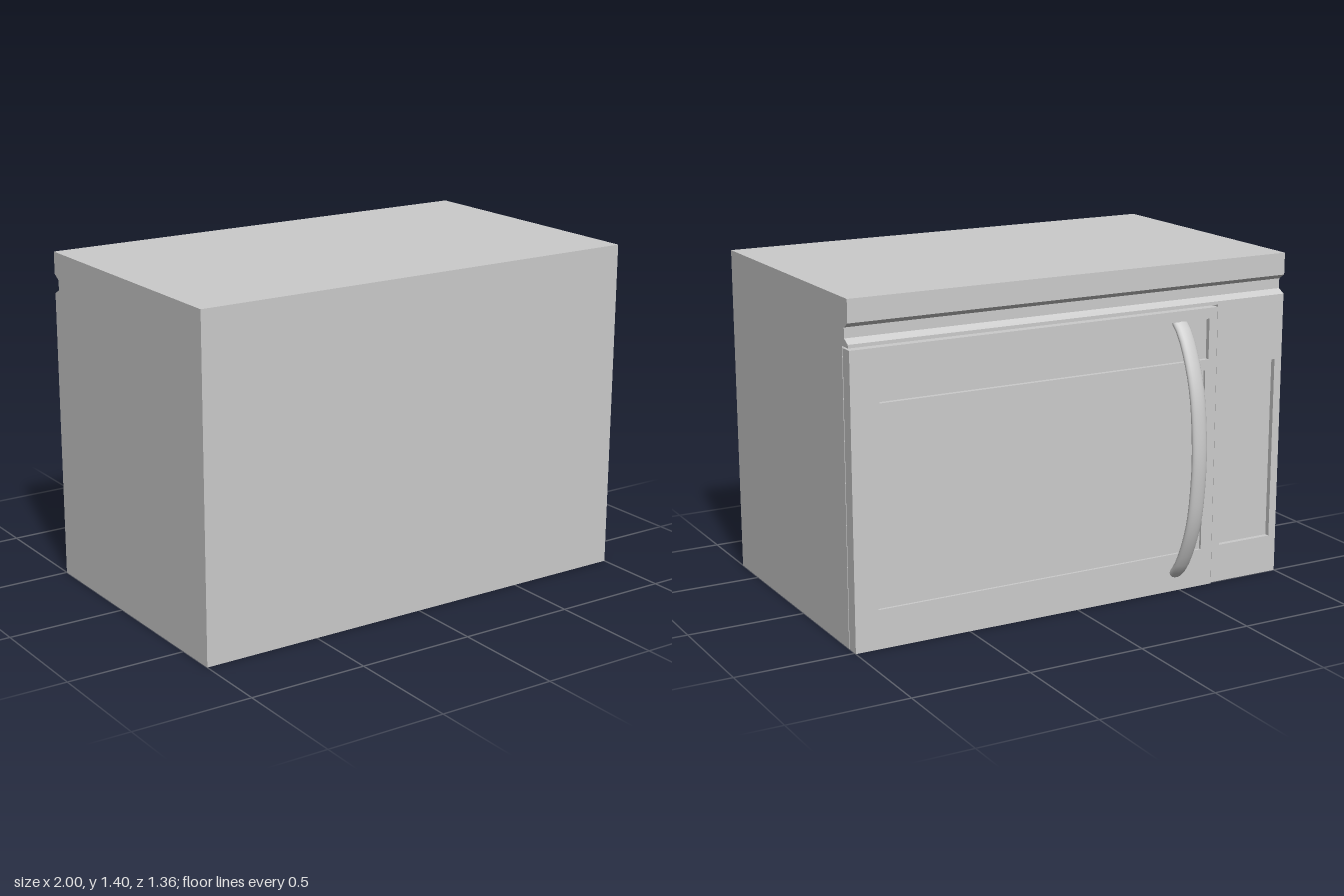
import * as THREE from 'three';

const material = new THREE.MeshStandardMaterial({ color: 0xcccccc });

function addMesh(parent, name, geometry) {
  const mesh = new THREE.Mesh(geometry, material);
  mesh.name = name;
  parent.add(mesh);
  return mesh;
}

const rectPoints = ([x0, x1, y0, y1]) => [[x0, y0], [x1, y0], [x1, y1], [x0, y1]].map(([x, y]) => new THREE.Vector2(x, y));

// Upright slab with rectangular pockets sunk into its -z face
function pocketSlab(name, rect, zFront, zBack, pockets) {
  const group = new THREE.Group();
  group.name = name;
  const shape = new THREE.Shape(rectPoints(rect));
  pockets.forEach((p) => shape.holes.push(new THREE.Path(rectPoints(p.rect))));
  const frame = new THREE.ExtrudeGeometry(shape, { depth: zBack - zFront, bevelEnabled: false });
  addMesh(group, name + 'Frame', frame.translate(0, 0, zFront));
  for (const { name: pocketName, rect: [x0, x1, y0, y1], sink } of pockets) {
    const depth = zBack - zFront - sink;
    addMesh(group, pocketName, new THREE.BoxGeometry(x1 - x0, y1 - y0, depth))
      .position.set((x0 + x1) / 2, (y0 + y1) / 2, zBack - depth / 2);
  }
  return group;
}

export function createModel() {
  const model = new THREE.Group();
  model.name = 'microwaveOven';

  // Cabinet: side profile (z, y) with the vent groove, swept across the width
  const profile = [
    [0.68, 0], [0.68, 1.4], [-0.5, 1.4], [-0.5, 1.307], [-0.467, 1.286],
    [-0.467, 1.244], [-0.5, 1.226], [-0.5, 1.212], [-0.447, 1.212], [-0.447, 0],
  ].map(([z, y]) => new THREE.Vector2(-z, y));
  const cabinet = new THREE.ExtrudeGeometry(new THREE.Shape(profile), { depth: 2, bevelEnabled: false });
  addMesh(model, 'cabinet', cabinet.translate(0, 0, -1).rotateY(Math.PI / 2));

  // Door with window and upper strip
  model.add(pocketSlab('door', [-0.66, 1, 0, 1.205], -0.51, -0.452, [
    { name: 'window', rect: [-0.605, 0.9, 0.163, 0.943], sink: 0.012 },
    { name: 'upperStrip', rect: [-0.62, 0.88, 0.988, 1.16], sink: 0.02 },
  ]));

  // Control panel beside the door
  model.add(pocketSlab('controlPanel', [-1, -0.668, 0, 1.212], -0.5, -0.447, [
    { name: 'keypad', rect: [-0.965, -0.705, 0.163, 0.948], sink: 0.022 },
  ]));

  // Bowed handle: a tube flattened to an oval section
  const half = [[0.55, -0.485], [0.5, -0.534], [0.38, -0.595], [0.26, -0.632], [0.12, -0.651]];
  const points = [
    ...half.map(([dy, z]) => [0.61 + dy, z]),
    [0.61, -0.657],
    ...half.map(([dy, z]) => [0.61 - dy, z]).reverse(),
  ].map(([y, z]) => new THREE.Vector3(0, y, z));
  const bar = new THREE.TubeGeometry(new THREE.CatmullRomCurve3(points), 24, 0.0185, 20);
  addMesh(model, 'handle', bar.scale(1.9, 1, 1)).position.x = -0.485;

  return model;
}
